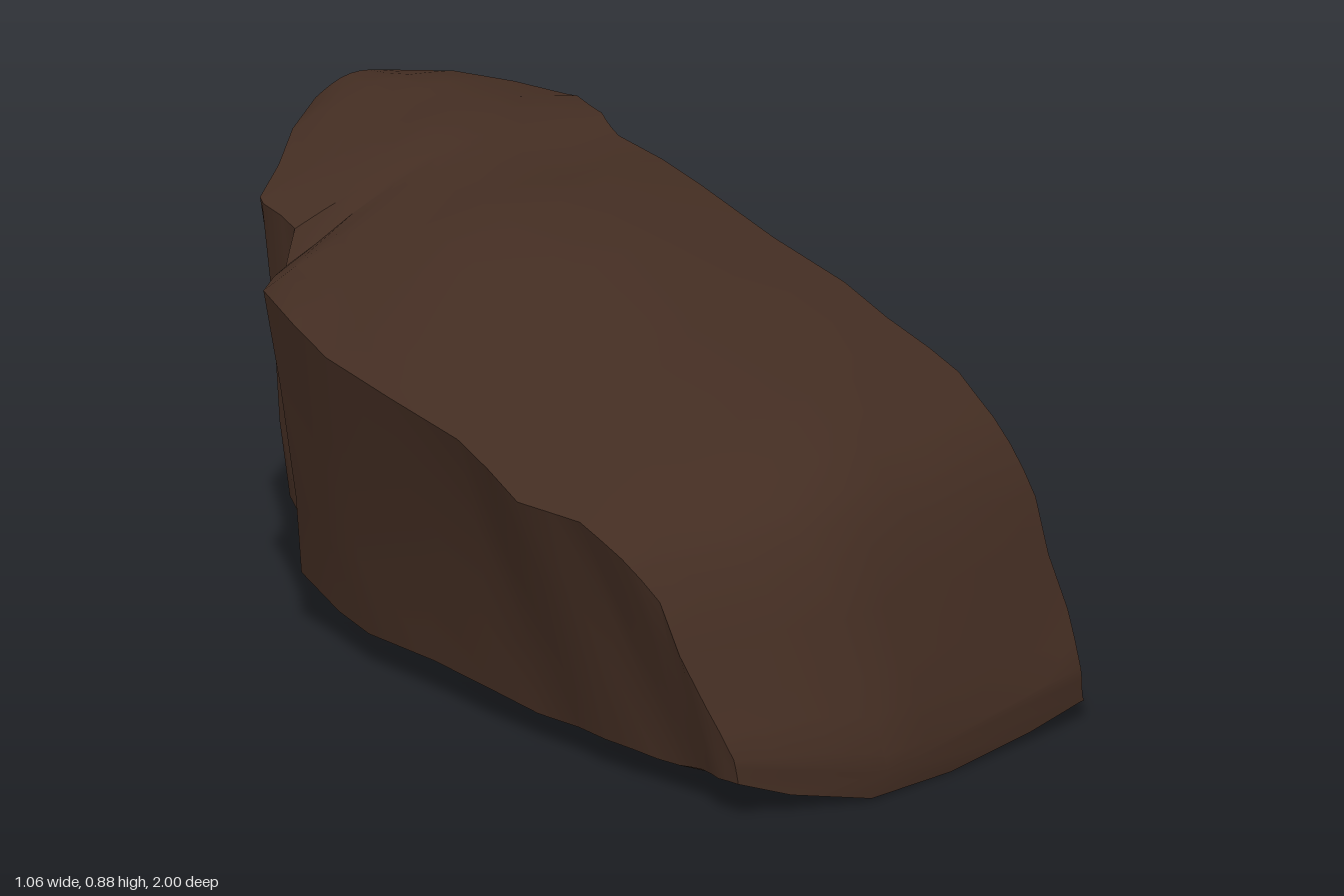
import * as THREE from 'three';
import { toCreasedNormals } from 'three/addons/utils/BufferGeometryUtils.js';

const { lerp, smoothstep } = THREE.MathUtils;

// Sections from front to back:
// z, bottom left x, bottom right x, bottom y, top left x, top left y, ridge y, top right x, top right y
const SECTIONS = [
  [1.0, -0.37, 0.51, 0.0, -0.38, 0.12, 0.08, 0.5, 0.11],
  [0.95, -0.38, 0.52, 0.0, -0.41, 0.22, 0.23, 0.5, 0.21],
  [0.87, -0.37, 0.52, 0.0, -0.45, 0.41, 0.44, 0.48, 0.41],
  [0.8, -0.37, 0.52, 0.0, -0.48, 0.48, 0.54, 0.47, 0.5],
  [0.65, -0.38, 0.52, 0.01, -0.5, 0.52, 0.62, 0.46, 0.58],
  [0.45, -0.39, 0.52, 0.01, -0.53, 0.54, 0.665, 0.45, 0.64],
  [0.2, -0.38, 0.52, 0.02, -0.48, 0.58, 0.725, 0.44, 0.7],
  [-0.22, -0.36, 0.5, 0.02, -0.47, 0.635, 0.83, 0.42, 0.79],
  [-0.48, -0.32, 0.5, 0.04, -0.41, 0.68, 0.82, 0.44, 0.815],
  [-0.55, -0.26, 0.5, 0.05, -0.3, 0.69, 0.84, 0.46, 0.825],
  [-0.58, -0.22, 0.5, 0.05, -0.26, 0.75, 0.85, 0.47, 0.83],
  [-0.68, -0.2, 0.49, 0.07, -0.26, 0.765, 0.87, 0.49, 0.84],
  [-0.7, -0.18, 0.49, 0.25, -0.25, 0.77, 0.87, 0.48, 0.84],
  [-0.85, -0.02, 0.45, 0.31, -0.05, 0.83, 0.885, 0.33, 0.87],
  [-0.95, 0.08, 0.39, 0.38, 0.08, 0.84, 0.88, 0.25, 0.87],
  [-1.0, 0.15, 0.3, 0.64, 0.15, 0.75, 0.78, 0.25, 0.76],
];

// Outline of one section, anticlockwise as seen from the front
function outline([z, xbl, xbr, yb, xtl, ytl, yr, xtr, ytr]) {
  const h = ytr - yb, hl = ytl - yb, xr = lerp(xtl, xtr, 0.62);
  // Lifted bottom corners, higher at the front and at the back left
  const liftL = Math.min(0.6 * hl, 0.045 + 0.03 * smoothstep(z, 0.7, 0.95) + 0.06 * smoothstep(-z, 0.35, 0.68));
  const liftR = Math.min(0.4 * h, 0.05);
  const pts = [
    [xbl, yb + liftL],
    [lerp(xbl, xbr, 0.12), yb + 0.4 * liftL],
    [lerp(xbl, xbr, 0.3), yb + 0.1 * liftL],
    [lerp(xbl, xbr, 0.55), yb],
    [lerp(xbl, xbr, 0.82), yb + 0.3 * liftR],
    [xbr - 0.01, yb + liftR],
    [xbr, yb + Math.max(0.28 * h, liftR)],
    [lerp(xbr, xtr, 0.45), yb + 0.5 * h],
    [lerp(xbr, xtr, 0.6), yb + 0.8 * h],
    [xtr, ytr],
  ];
  for (const u of [0.35, 0.7, 1]) pts.push([lerp(xtr, xr, u), lerp(ytr, yr, Math.sin(u * Math.PI / 2))]);
  for (const u of [0.78, 0.55, 0.35, 0.15, 0]) pts.push([lerp(xtl, xr, u), lerp(ytl, yr, Math.sin(u * Math.PI / 2))]);
  pts.push([lerp(xtl, xbl, 0.4), lerp(yb + liftL, ytl, 0.66)], [lerp(xtl, xbl, 0.8), lerp(yb + liftL, ytl, 0.26)]);
  // Bring the front to a blunt point in plan and roughen the surface slightly
  const bend = 0.25 * smoothstep(z, 0.4, 0.9);
  return pts.map(([x, y]) => new THREE.Vector3(
    x + 0.005 * Math.sin(17 * z + 9 * y) + 0.004 * Math.sin(31 * z - 14 * y),
    Math.max(0, y + 0.005 * Math.sin(13 * x + 11 * z) + 0.003 * Math.sin(23 * x - 19 * z)),
    z - bend * Math.abs(x + 0.08)
  ));
}

function rockGeometry() {
  // Insert a halfway section between each pair
  const rows = [];
  SECTIONS.forEach((s, i) => {
    rows.push(outline(s));
    const next = SECTIONS[i + 1];
    if (next) rows.push(outline(s.map((v, k) => lerp(v, next[k], 0.5))));
  });

  const n = rows[0].length, positions = [], index = [];
  rows.flat().forEach((p) => positions.push(p.x, p.y, p.z));
  for (let i = 0; i < rows.length - 1; i++) {
    for (let j = 0; j < n; j++) {
      const a = i * n + j, b = i * n + (j + 1) % n;
      index.push(a, a + n, b, b, a + n, b + n);
    }
  }
  // Close both ends
  const cap = (start, front, x, y, z) => {
    const centre = positions.length / 3;
    positions.push(x, y, z);
    for (let j = 0; j < n; j++) {
      const a = start + j, b = start + (j + 1) % n;
      index.push(centre, front ? a : b, front ? b : a);
    }
  };
  cap(0, true, -0.08, 0.05, 1);
  cap((rows.length - 1) * n, false, 0.21, 0.71, -1);

  const geometry = new THREE.BufferGeometry();
  geometry.setAttribute('position', new THREE.Float32BufferAttribute(positions, 3));
  geometry.setIndex(index);
  return toCreasedNormals(geometry, 0.6);
}

export function createModel() {
  const group = new THREE.Group();
  group.name = 'rock';
  const stone = new THREE.MeshStandardMaterial({ color: 0x432d22 });
  stone.name = 'dark brown stone';
  const boulder = new THREE.Mesh(rockGeometry(), stone);
  boulder.name = 'boulder';
  group.add(boulder);
  return group;
}
